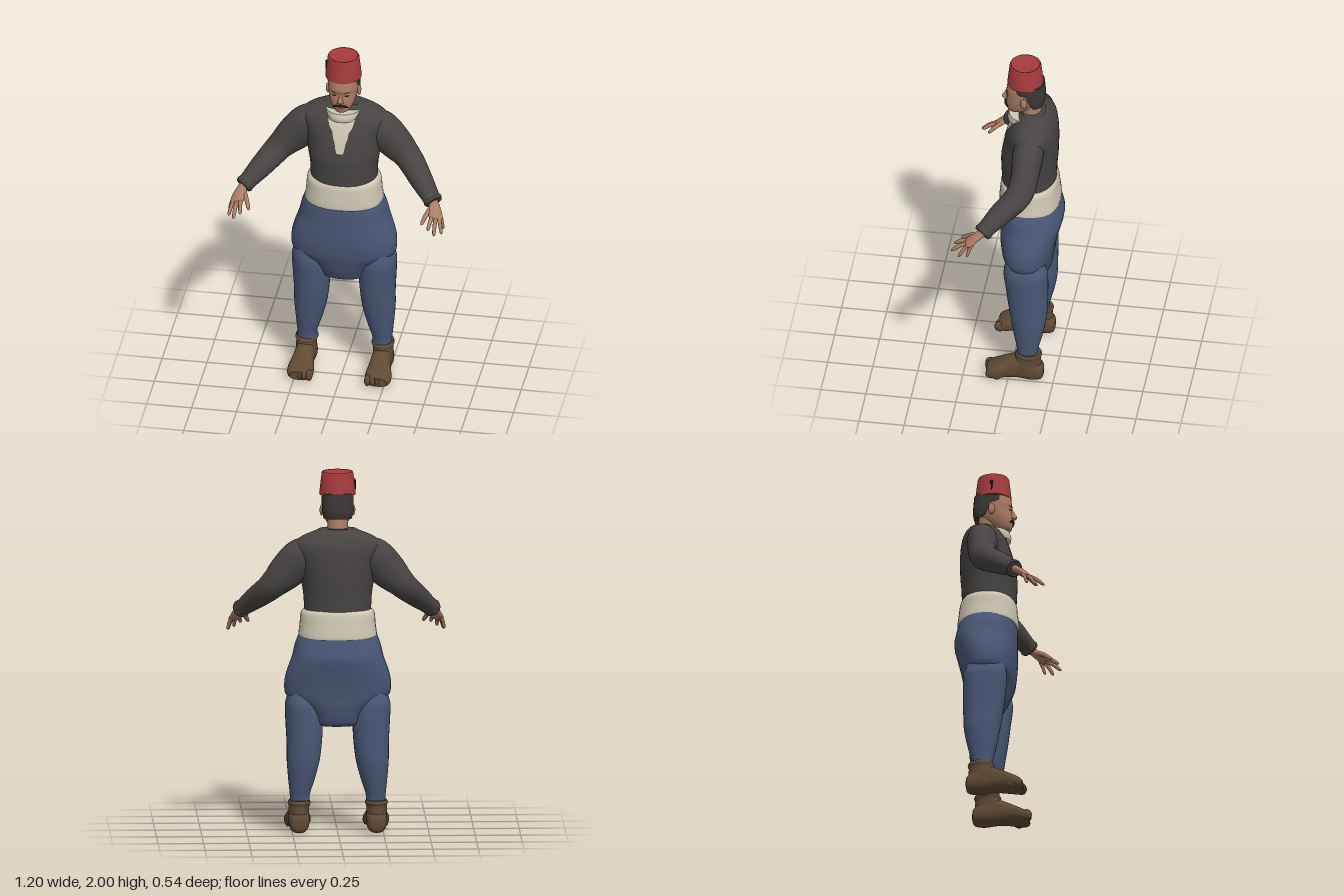
import * as THREE from 'three';

const mat = (name, color, side = THREE.FrontSide) => {
  const m = new THREE.MeshStandardMaterial({ color, side });
  m.name = name;
  return m;
};
const Y = new THREE.Vector3(0, 1, 0), Z = new THREE.Vector3(0, 0, 1);

// Rows are [x, y, z, halfWidth, halfDepth]; smooth() adds spline steps between them.
function smooth(rows, steps = 6) {
  const out = [], at = i => rows[Math.min(Math.max(i, 0), rows.length - 1)];
  for (let i = 0; i < rows.length - 1; i++)
    for (let k = 0; k < steps; k++) {
      const t = k / steps, [p, q, r, s] = [at(i - 1), at(i), at(i + 1), at(i + 2)];
      out.push(q.map((_, c) => q[c] + 0.5 * t * (r[c] - p[c] + t * (2 * p[c] - 5 * q[c] + 4 * r[c] - s[c]
        + t * (3 * (q[c] - r[c]) + s[c] - p[c])))));
    }
  out.push(at(rows.length - 1));
  return out;
}

// Skin of superellipse rings; rings lie across `axis`, or across the path when it is null.
function loft(rows, { axis = Y, ref = Z, n = 2, seg = 32 } = {}) {
  const rings = smooth(rows), pos = [], idx = [];
  const centre = rings.map(r => new THREE.Vector3(r[0], r[1], r[2]));
  const pw = v => Math.sign(v) * Math.abs(v) ** (2 / n);
  rings.forEach((r, i) => {
    const t = axis ? axis.clone()
      : centre[Math.min(i + 1, rings.length - 1)].clone().sub(centre[Math.max(i - 1, 0)]).normalize();
    const u = t.clone().cross(ref).normalize(), v = u.clone().cross(t);
    for (let j = 0; j < seg; j++) {
      const a = j / seg * Math.PI * 2;
      pos.push(...centre[i].clone().addScaledVector(u, r[3] * pw(Math.cos(a)))
        .addScaledVector(v, r[4] * pw(Math.sin(a))).toArray());
      if (i < rings.length - 1) {
        const p = i * seg + j, q = i * seg + (j + 1) % seg;
        idx.push(p, p + seg, q, q, p + seg, q + seg);
      }
    }
  });
  // end caps with their own vertices
  [0, rings.length - 1].forEach((i, end) => {
    const base = pos.length / 3;
    pos.push(...pos.slice(i * seg * 3, (i + 1) * seg * 3), ...centre[i].toArray());
    for (let j = 0; j < seg; j++) {
      const p = base + j, q = base + (j + 1) % seg;
      idx.push(base + seg, end ? q : p, end ? p : q);
    }
  });
  return build(pos, idx);
}

function build(pos, idx) {
  const g = new THREE.BufferGeometry();
  g.setAttribute('position', new THREE.Float32BufferAttribute(pos, 3));
  g.setIndex(idx);
  g.computeVertexNormals();
  return g;
}

// Thin patch lying on the front of a vertical loft; lines are [y, xStart, xEnd] going up.
function patch(rows, n, lines, off = 0.004) {
  const dense = smooth(rows), pos = [], idx = [], cols = 8;
  const frontZ = (x, y) => {
    const i = Math.max(1, dense.findIndex(r => r[1] >= y)), a = dense[i - 1], b = dense[i];
    const t = (y - a[1]) / (b[1] - a[1]), [cz, rx, rz] = [2, 3, 4].map(c => a[c] + (b[c] - a[c]) * t);
    return cz + rz * Math.max(0, 1 - Math.abs(x / rx) ** n) ** (1 / n);
  };
  smooth(lines, 4).forEach(([y, x0, x1], i) => {
    for (let j = 0; j <= cols; j++) {
      const x = x0 + (x1 - x0) * j / cols;
      pos.push(x, y, frontZ(x, y) + off);
      if (i && j) {
        const d = i * (cols + 1) + j, c = d - 1, b = d - cols - 1, a = b - 1;
        idx.push(a, b, d, a, d, c);
      }
    }
  });
  return build(pos, idx);
}

// Ring given by height, half width, front z and back z.
const ring = (y, rx, f, b, x = 0) => [x, y, (f + b) / 2, rx, (f - b) / 2];

export function createModel() {
  const model = new THREE.Group();
  model.name = 'manInFez';
  const red = mat('hatRed', 0xa63b3c), skin = mat('skin', 0xac7d63), hair = mat('hairDark', 0x3a3735);
  const jacket = mat('jacketCharcoal', 0x474443), cream = mat('cream', 0xd0c8b5, THREE.DoubleSide);
  const blue = mat('trouserBlue', 0x4a5777), brown = mat('shoeBrown', 0x5f4a34);
  const black = mat('black', 0x1c1a1a, THREE.DoubleSide), lip = mat('lip', 0x84544a, THREE.DoubleSide);
  const add = (name, geo, m, parent = model) => {
    const mesh = new THREE.Mesh(geo, m);
    mesh.name = name;
    parent.add(mesh);
    return mesh;
  };
  const ball = (name, m, p, s) => {
    const b = add(name, new THREE.SphereGeometry(1, 16, 12), m);
    b.position.set(...p);
    b.scale.set(...s);
  };

  // Trousers: baggy seat
  add('trouserSeat', loft([ring(0.595, 0.1, -0.02, -0.16), ring(0.61, 0.13, 0, -0.19), ring(0.66, 0.15, 0.025, -0.21),
    ring(0.71, 0.2, 0.04, -0.22), ring(0.76, 0.28, 0.055, -0.225), ring(0.83, 0.293, 0.067, -0.238),
    ring(0.9, 0.28, 0.072, -0.255), ring(0.98, 0.252, 0.073, -0.273), ring(1.05, 0.235, 0.073, -0.262),
    ring(1.11, 0.212, 0.07, -0.25)], { n: 2.3 }), blue);

  // Sash, jacket and shirt front
  add('sash', loft([ring(1.085, 0.213, 0.075, -0.253), ring(1.1, 0.216, 0.08, -0.257), ring(1.16, 0.209, 0.077, -0.25),
    ring(1.22, 0.203, 0.07, -0.242), ring(1.243, 0.185, 0.055, -0.23)], { n: 2.3 }), cream);
  const torso = [ring(1.235, 0.184, 0.066, -0.232), ring(1.32, 0.188, 0.07, -0.235), ring(1.4, 0.2, 0.07, -0.241),
    ring(1.5, 0.215, 0.05, -0.243), ring(1.57, 0.238, 0.03, -0.237), ring(1.615, 0.235, 0.012, -0.226),
    ring(1.65, 0.19, -0.01, -0.208), ring(1.675, 0.13, -0.03, -0.188), ring(1.69, 0.1, -0.045, -0.17)];
  add('jacketBody', loft(torso, { n: 2.15, seg: 48 }), jacket);
  add('shirtFront', patch(torso, 2.15, [[1.44, 0.018], [1.47, 0.026], [1.5, 0.031], [1.53, 0.041],
    [1.56, 0.046], [1.59, 0.064], [1.63, 0.074]].map(([y, w]) => [y, -w, w])), cream);
  add('shirtCollar', loft([ring(1.622, 0.088, 0.036, -0.15), ring(1.645, 0.094, 0.038, -0.155),
    ring(1.67, 0.099, 0.03, -0.16)]), cream);

  // Neck and head
  add('neck', loft([ring(1.62, 0.062, -0.03, -0.155), ring(1.68, 0.056, -0.035, -0.148),
    ring(1.76, 0.058, -0.02, -0.14)]), skin);
  const head = [ring(1.682, 0.028, 0.025, -0.05), ring(1.695, 0.046, 0.04, -0.08), ring(1.73, 0.066, 0.046, -0.12),
    ring(1.77, 0.078, 0.044, -0.145), ring(1.8, 0.082, 0.041, -0.153), ring(1.83, 0.084, 0.044, -0.157),
    ring(1.89, 0.083, 0.034, -0.155)];
  add('head', loft(head, { n: 2.2 }), skin);
  add('nose', loft([[0, 1.75, 0.044, 0.008, 0.006], [0, 1.757, 0.048, 0.018, 0.016], [0, 1.768, 0.05, 0.014, 0.021],
    [0, 1.79, 0.043, 0.009, 0.015], [0, 1.815, 0.038, 0.007, 0.008]], { seg: 16 }), skin);
  add('moustache', loft([[-0.043, 1.721, 0.033, 0.002, 0.002], [-0.026, 1.732, 0.043, 0.006, 0.008],
    [0, 1.736, 0.049, 0.006, 0.008], [0.026, 1.732, 0.043, 0.006, 0.008], [0.043, 1.721, 0.033, 0.002, 0.002]],
    { axis: null, seg: 12 }), black);
  add('lips', patch(head, 2.2, [[1.714, -0.01, 0.01], [1.718, -0.02, 0.02], [1.724, -0.022, 0.022]]), lip);
  for (const s of [-1, 1]) {
    const strip = lines => lines.map(([y, a, b]) => [y, ...[s * a, s * b].sort((p, q) => p - q)]);
    add('eye', patch(head, 2.2, strip([[1.791, 0.03, 0.04], [1.796, 0.022, 0.048], [1.801, 0.028, 0.042]]), 0.003), black);
    add('eyebrow', patch(head, 2.2, strip([[1.811, 0.014, 0.024], [1.816, 0.018, 0.054], [1.821, 0.03, 0.05]]), 0.004), hair);
    ball('ear', skin, [s * 0.087, 1.785, -0.063], [0.011, 0.031, 0.019]);
  }

  // Hair: the hem runs low at the nape and high above the ears
  const hairGeo = loft([ring(1.74, 0.083, 0.018, -0.163), ring(1.79, 0.088, 0.02, -0.172),
    ring(1.885, 0.086, 0.02, -0.165)], { n: 2.6 });
  const hp = hairGeo.attributes.position;
  for (let i = 0; i < hp.count; i++) {
    const hem = THREE.MathUtils.lerp(1.745, 1.825, THREE.MathUtils.smoothstep(hp.getZ(i), -0.11, -0.075));
    hp.setY(i, THREE.MathUtils.lerp(hem, 1.885, (hp.getY(i) - 1.74) / 0.145));
  }
  hairGeo.computeVertexNormals();
  add('hair', hairGeo, hair);

  // Fez with a sunken top, and its tassel
  const fez = [[0, 1.872], [0.099, 1.872], [0.099, 1.872], [0.1, 1.88], [0.093, 1.94], [0.087, 1.992], [0.083, 2],
    [0.077, 1.996], [0.074, 1.985], [0, 1.985]];
  add('fez', new THREE.LatheGeometry(fez.map(p => new THREE.Vector2(...p)), 40), red).position.z = -0.06;
  ball('tassel', black, [-0.095, 1.945, -0.062], [0.006, 0.014, 0.009]);
  ball('tasselCord', black, [-0.098, 1.92, -0.062], [0.004, 0.025, 0.004]);

  for (const s of [-1, 1]) {
    const side = rows => rows.map(([x, ...rest]) => [s * x, ...rest]);
    const limb = (rows, seg = 24) => loft(side(rows), { axis: null, ref: Y, seg });

    // Sleeve with a flared cuff
    add('sleeve', limb([[0.13, 1.56, -0.11, 0.07, 0.085], [0.2, 1.53, -0.105, 0.085, 0.105],
      [0.28, 1.45, -0.1, 0.077, 0.1], [0.345, 1.385, -0.088, 0.075, 0.08], [0.39, 1.34, -0.055, 0.072, 0.07],
      [0.45, 1.285, 0.015, 0.063, 0.061], [0.51, 1.228, 0.08, 0.051, 0.047], [0.522, 1.217, 0.092, 0.055, 0.05],
      [0.532, 1.208, 0.102, 0.049, 0.044]]), jacket);

    // Hand
    add('palm', limb([[0.515, 1.222, 0.085, 0.026, 0.024], [0.535, 1.2, 0.115, 0.028, 0.021],
      [0.545, 1.172, 0.15, 0.038, 0.019], [0.556, 1.15, 0.176, 0.037, 0.014], [0.558, 1.143, 0.183, 0.025, 0.006]]), skin);
    const fingers = [
      ['littleFinger', [0.576, 1.155, 0.15], [0.597, 1.088, 0.175], 0.0095],
      ['ringFinger', [0.57, 1.152, 0.168], [0.593, 1.08, 0.222], 0.0105],
      ['middleFinger', [0.553, 1.152, 0.174], [0.558, 1.09, 0.268], 0.011],
      ['indexFinger', [0.535, 1.158, 0.17], [0.522, 1.115, 0.258], 0.011],
      ['thumb', [0.522, 1.19, 0.125], [0.479, 1.125, 0.222], 0.0125]];
    for (const [name, a, b, r] of fingers) {
      const at = (t, k, lift = 0) => [...a.map((v, c) => v + (b[c] - v) * t + (c === 1 ? lift : 0)), r * k, r * k];
      add(name, limb([at(0, 1.1), at(0.5, 1, 0.008), at(0.88, 0.8, 0.002), at(1, 0.1)], 10), skin);
    }

    // Trouser leg
    add('trouserLeg', loft(side([ring(0.18, 0.053, -0.045, -0.16, 0.208), ring(0.22, 0.056, -0.042, -0.167, 0.208),
      ring(0.3, 0.073, -0.025, -0.187, 0.199), ring(0.4, 0.09, -0.008, -0.206, 0.19), ring(0.5, 0.097, 0.008, -0.211, 0.184),
      ring(0.6, 0.102, 0.02, -0.213, 0.184), ring(0.68, 0.1, 0.03, -0.213, 0.19), ring(0.725, 0.09, 0.03, -0.21, 0.198),
      ring(0.78, 0.07, 0.02, -0.19, 0.2)]), { n: 2.2 }), blue);

    // Foot: ankle, sole and toes
    add('ankle', loft(side([ring(0.05, 0.055, -0.01, -0.185, 0.214), ring(0.1, 0.056, -0.015, -0.182, 0.214),
      ring(0.15, 0.057, -0.035, -0.178, 0.213), ring(0.168, 0.063, -0.035, -0.184, 0.212),
      ring(0.183, 0.058, -0.045, -0.178, 0.212)])), brown);
    add('foot', loft(side([[0.213, 0.06, -0.194, 0.015, 0.02], [0.213, 0.06, -0.182, 0.043, 0.048],
      [0.213, 0.07, -0.13, 0.057, 0.068], [0.213, 0.082, -0.06, 0.055, 0.074], [0.214, 0.072, 0, 0.06, 0.063],
      [0.216, 0.054, 0.06, 0.072, 0.049], [0.216, 0.043, 0.1, 0.07, 0.038], [0.216, 0.038, 0.12, 0.055, 0.025]]),
      { axis: Z, ref: Y, n: 2.4 }), brown);
    for (let i = 0; i < 5; i++)
      ball('toe', brown, [s * (0.163 + i * 0.0265), 0.042 - i * 0.002, 0.109 - i * i * 0.003],
        [0.019 - i * 0.001, 0.032 - i * 0.002, 0.029]);
  }
  return model;
}
